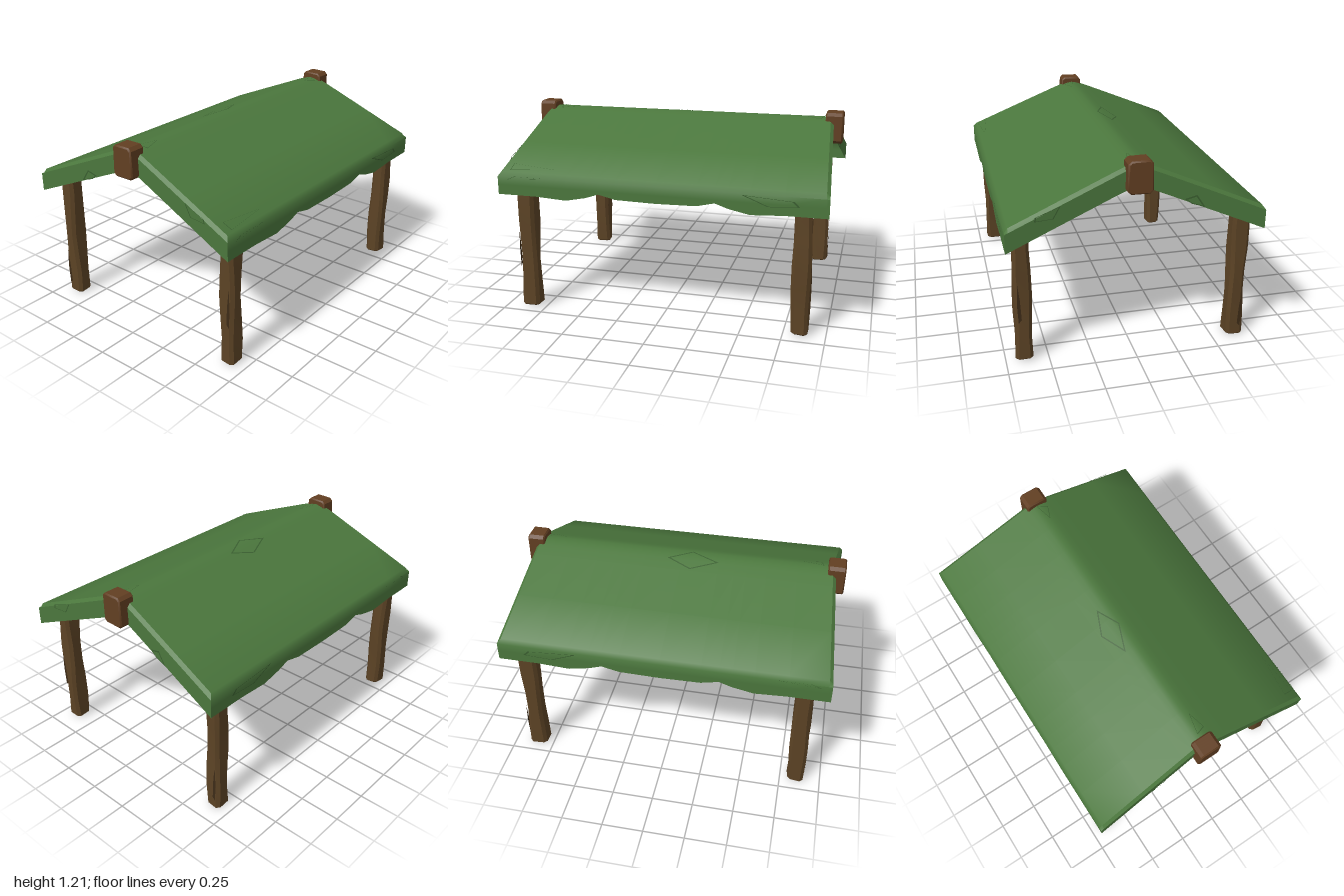
import * as THREE from 'three';
import { mergeVertices, toCreasedNormals } from 'three/addons/utils/BufferGeometryUtils.js';

const EAVE_X = 0.735;
const INSET = 0.02;
const roofY = (x) => 1.178 - 0.427 * Math.max(0, Math.hypot(x, 0.03) - 0.03);
const edgeZ = (x) => 0.94 + 0.05 * Math.abs(x) / EAVE_X;

// Scalloped hem height along the eaves
const HEM = [[0, 0.758], [0.25, 0.763], [0.35, 0.788], [0.43, 0.76], [0.55, 0.735], [0.75, 0.746], [1, 0.746]];
function hemY(z) {
  const a = Math.abs(z);
  const i = Math.max(1, HEM.findIndex((p) => p[0] >= a));
  const [z0, y0] = HEM[i - 1], [z1, y1] = HEM[i];
  return y0 + (y1 - y0) * (a - z0) / (z1 - z0);
}

export function createModel() {
  const group = new THREE.Group();
  group.name = 'marketCanopy';
  const mat = (name, color, side = THREE.FrontSide) => {
    const m = new THREE.MeshStandardMaterial({ color, side });
    m.name = name;
    return m;
  };
  const cloth = mat('greenCloth', 0x4b773d, THREE.DoubleSide);
  const seam = mat('darkGreenSeam', 0x3a5f30, THREE.DoubleSide);
  const wood = mat('brownWood', 0x5c4325);
  const endWood = mat('reddishWood', 0x623f22);
  const crack = mat('darkWoodCrack', 0x3d2b17, THREE.DoubleSide);

  const add = (name, geo, material, parent = group) => {
    const mesh = new THREE.Mesh(geo, material);
    mesh.name = name;
    parent.add(mesh);
    return mesh;
  };

  // Canopy: a grid of roof points whose outer rows fold down into a skirt
  const folded = (inner) => [
    ...[3, 2, 1].map((k) => ({ v: -1, k })),
    ...inner.map((v) => ({ v, k: 0 })),
    ...[1, 2, 3].map((k) => ({ v: 1, k })),
  ];
  const cols = folded([-1, -0.6, -0.2, -0.1, -0.05, 0, 0.05, 0.1, 0.2, 0.6, 1]);
  const rows = folded([-1, -0.77, -0.57, -0.44, -0.36, -0.25, 0, 0.25, 0.36, 0.44, 0.57, 0.77, 1]);
  const pos = [], index = [];
  cols.forEach((c) => rows.forEach((r) => {
    const x = c.v * (c.k ? EAVE_X : EAVE_X - INSET);
    const z = r.v * (edgeZ(x) - (r.k ? 0 : INSET));
    const k = Math.max(c.k, r.k);
    let y = roofY(x) - [0, 0.02, 0.07, 0.133][k];
    if (k === 3 && c.k === 3) y = hemY(z);
    pos.push(x, y, z);
  }));
  for (let i = 0; i < cols.length - 1; i++) {
    for (let j = 0; j < rows.length - 1; j++) {
      // The corners are already closed by the two skirts
      if (Math.min(cols[i].k, cols[i + 1].k) && Math.min(rows[j].k, rows[j + 1].k)) continue;
      const a = i * rows.length + j, d = a + rows.length;
      index.push(a, a + 1, d + 1, a, d + 1, d);
    }
  }
  let canopy = new THREE.BufferGeometry();
  canopy.setAttribute('position', new THREE.Float32BufferAttribute(pos, 3));
  canopy.setIndex(index);
  canopy = toCreasedNormals(mergeVertices(canopy, 1e-4), 0.75);
  add('canopyCloth', canopy, cloth);

  // Thin stitched outlines laid onto the cloth
  function outline(name, pts, place, width = 0.012) {
    const v = pts.map((p) => new THREE.Vector2(...p));
    const mid = v.reduce((s, p) => s.add(p), new THREE.Vector2()).divideScalar(v.length);
    const size = Math.min(...v.map((p) => p.distanceTo(mid)));
    const shape = new THREE.Shape(v);
    shape.holes.push(new THREE.Path(v.map((p) => p.clone().lerp(mid, width / size))));
    const geo = new THREE.ShapeGeometry(shape);
    const p = geo.attributes.position;
    for (let i = 0; i < p.count; i++) p.setXYZ(i, ...place(p.getX(i), p.getY(i)));
    geo.computeVertexNormals();
    add(name, geo, seam);
  }
  const onRoof = (x, z) => [x, roofY(x) + 0.004, z];
  const underRoof = (x, z) => [x, roofY(x) - 0.006, z];
  const onGable = (s) => (x, y) => [x, y, s * (edgeZ(x) + 0.003)];
  const onSide = (s) => (z, y) => [s * (EAVE_X + 0.003), y, z];
  outline('ridgeDiamond', [[-0.07, -0.09], [-0.005, 0.06], [-0.07, 0.23], [-0.135, 0.06]], onRoof, 0.008);
  outline('frontRidgePatch', [[0.025, 0.74], [0.055, 0.85], [-0.005, 0.87]], onRoof, 0.005);
  outline('backRidgePatch', [[0.02, -0.77], [0.055, -0.86], [-0.01, -0.89]], onRoof, 0.005);
  outline('eavePatch', [[0.68, 0.64], [0.705, 0.92], [0.645, 0.92]], onRoof, 0.005);
  outline('undersidePatch', [[-0.66, 0.4], [-0.54, 0.4], [-0.54, 0.6], [-0.66, 0.6]], underRoof);
  for (const s of [1, -1]) {
    outline('gablePatch', [[0.43, 0.985], [0.47, 0.915], [0.575, 0.91], [0.57, 0.935]], onGable(s), 0.006);
    outline('gablePatch', [[-0.38, 0.9], [-0.33, 0.975], [-0.26, 0.955], [-0.3, 0.925]], onGable(s), 0.006);
    outline('skirtPatch', [[-0.5, 0.85], [-0.65, 0.79], [-0.83, 0.8], [-0.8, 0.83]], onSide(s), 0.006);
    outline('skirtPatch', [[0.93, 0.84], [0.88, 0.862], [0.68, 0.86]], onSide(s), 0.004);
  }

  // Rough-hewn timber: chamfered square running along +z, slightly wavy
  function timber(w, h, len, seed, wobble = 0.005) {
    const c = 0.014, b = 0.008, x = w / 2 - b, y = h / 2 - b;
    const shape = new THREE.Shape([
      [x - c, -y], [x, -y + c], [x, y - c], [x - c, y],
      [-x + c, y], [-x, y - c], [-x, -y + c], [-x + c, -y],
    ].map((p) => new THREE.Vector2(...p)));
    const geo = new THREE.ExtrudeGeometry(shape, {
      depth: len - 2 * b, steps: 6, bevelEnabled: true, bevelSize: b, bevelThickness: b, bevelSegments: 1,
    });
    geo.translate(0, 0, b);
    const p = geo.attributes.position;
    for (let i = 0; i < p.count; i++) {
      const z = p.getZ(i), sx = Math.sign(p.getX(i)), sy = Math.sign(p.getY(i));
      p.setX(i, p.getX(i) + wobble * Math.sin(z * 11 + seed + sx + sy * 2));
      p.setY(i, p.getY(i) + wobble * Math.sin(z * 9 + seed * 2 + sy - sx));
    }
    return toCreasedNormals(geo, 0.6);
  }

  for (const sx of [1, -1]) {
    for (const sz of [1, -1]) {
      const seed = sx + 2.3 * sz;
      const side = (sz > 0 ? 'front' : 'back') + (sx > 0 ? 'Left' : 'Right');
      // Corner posts
      const foot = sx > 0 ? 0.01 : 0;
      const post = add(side + 'Post', timber(0.098, 0.105, 0.86 - foot, seed), wood);
      post.rotation.x = -Math.PI / 2;
      post.position.set(sx * 0.64, foot, sz * 0.845);

      // Rafters from the posts up to the ridge
      const rafter = add(side + 'Rafter', timber(0.075, 0.075, 0.68, seed + 1), wood);
      rafter.position.set(sx * 0.66, 0.825, sz * 0.855);
      rafter.lookAt(0, 1.1, sz * 0.855);

      // Splits in the post faces
      const low = sx > 0 ? 0.26 : 0.06;
      const split = new THREE.Shape([[-0.03, low], [-0.012, low + 0.02], [-0.018, low + 0.14], [-0.03, low + 0.25], [-0.036, low + 0.12]]
        .map(([x, y]) => new THREE.Vector2(sx > 0 ? -x : x, y)));
      const mark = add(side + 'PostSplit', new THREE.ShapeGeometry(split), crack);
      mark.position.set(sx * 0.64, 0, sz * 0.9025);
    }
  }

  // Ridge beam with its raised end blocks
  const ridge = add('ridgeBeam', timber(0.12, 0.11, 1.86, 0.5), wood);
  ridge.position.set(0, 1.08, -0.93);
  for (const s of [1, -1]) {
    const geo = timber(0.142, 0.19, 0.107, s, 0.001);
    const p = geo.attributes.position;
    for (let i = 0; i < p.count; i++) p.setX(i, p.getX(i) * (1 - 0.3 * p.getY(i)));
    const block = add(s > 0 ? 'frontRidgeBlock' : 'backRidgeBlock', geo, endWood);
    block.position.set(0, 1.115, s > 0 ? 0.893 : -1);
  }
  return group;
}
